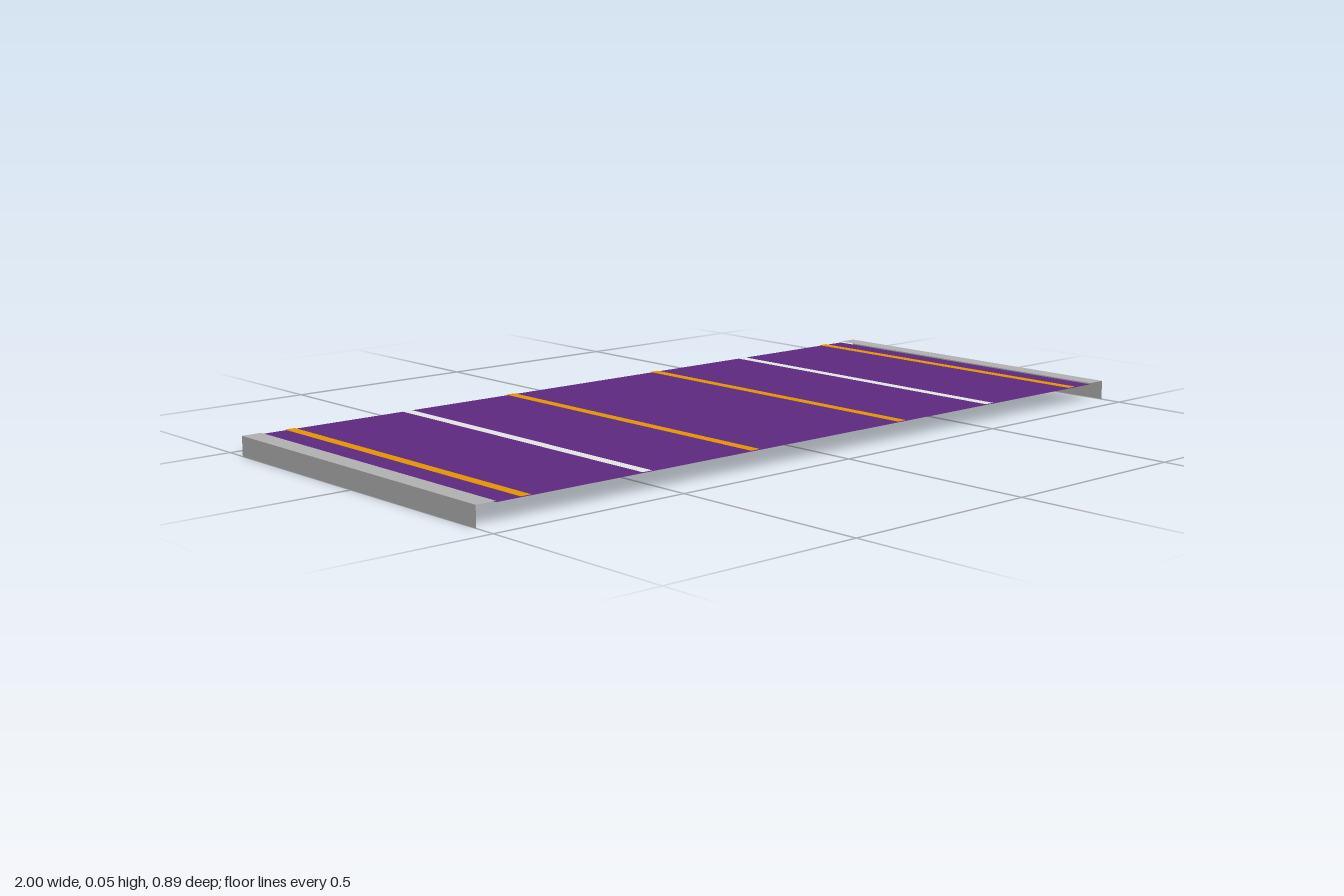
import * as THREE from 'three';

const DEPTH = 0.888, TOP = 0.048, DECK_Y = 0.045, FLANGE = 0.05;

function material(name, color, side = THREE.FrontSide) {
  const m = new THREE.MeshStandardMaterial({ color, side });
  m.name = name;
  return m;
}

export function createModel() {
  const purple = material('purple', 0x5e2980, THREE.DoubleSide);
  const orange = material('orange', 0xffa500);
  const white = material('white', 0xffffff);
  const grey = material('grey', 0xb2b2b2, THREE.DoubleSide);

  const model = new THREE.Group();
  model.name = 'stripedPanel';

  // Flat sheet facing up, spanning the full depth
  function sheet(name, width, x, y, mat, parent = model) {
    const geometry = new THREE.PlaneGeometry(width, DEPTH).rotateX(-Math.PI / 2);
    const mesh = new THREE.Mesh(geometry, mat);
    mesh.name = name;
    mesh.position.set(x, y, 0);
    parent.add(mesh);
  }

  sheet('deck', 2 - 2 * FLANGE, 0, DECK_Y, purple);

  for (const side of [-1, 1]) {
    const label = side > 0 ? 'left' : 'right';

    // Stripes painted on the upper face only
    [[0.238, orange], [0.553, white], [0.875, orange]].forEach(([x, mat], i) =>
      sheet(`${label}Stripe${i + 1}`, 0.027, side * x, DECK_Y + 0.002, mat));

    // L-shaped end rail: top flange and outer wall
    const rail = new THREE.Group();
    rail.name = `${label}EndRail`;
    sheet('railFlange', FLANGE, side * (1 - FLANGE / 2), TOP, grey, rail);
    const wall = new THREE.Mesh(
      new THREE.PlaneGeometry(DEPTH, TOP).rotateY(side * Math.PI / 2), grey);
    wall.name = 'railWall';
    wall.position.set(side, TOP / 2, 0);
    rail.add(wall);
    model.add(rail);
  }

  return model;
}
